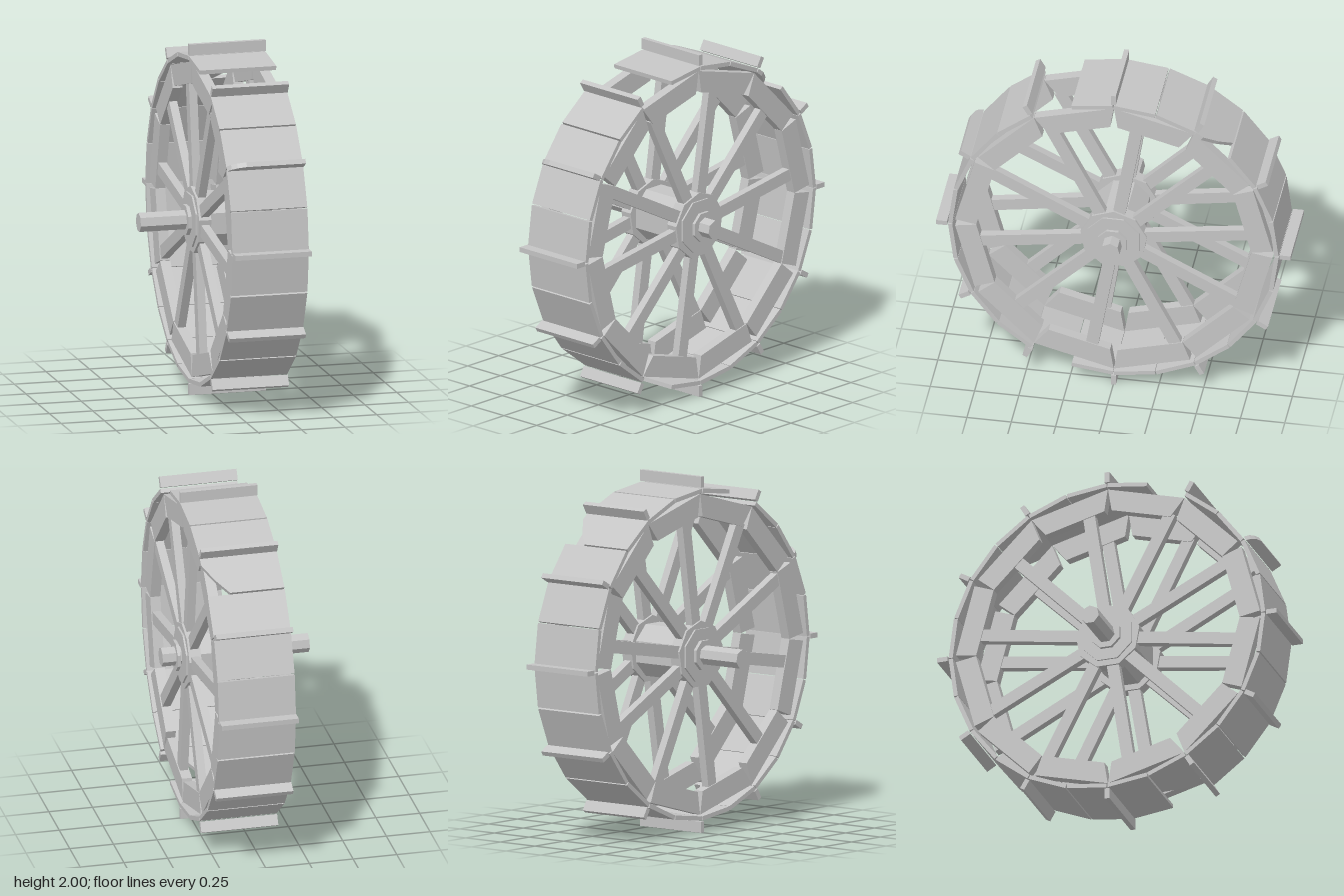
import * as THREE from 'three';

const wood = new THREE.MeshStandardMaterial({ color: 0xc4c4c4 });
wood.name = 'paleGreyWood';

const RAD = Math.PI / 180;
const MID = 0.09;          // x of the wheel's middle plane
const HALF = 0.22;         // half the width of the wheel

function add(parent, name, geometry) {
  const mesh = new THREE.Mesh(geometry, wood);
  mesh.name = name;
  parent.add(mesh);
  return mesh;
}

// Plate cut from a polygon outline
function plate(points, depth) {
  const shape = new THREE.Shape(points.map(([a, b]) => new THREE.Vector2(a, b)));
  return new THREE.ExtrudeGeometry(shape, { depth, bevelEnabled: false });
}

// Faceted prism lying along x, from x0 to x1
function prism(radius, sides, x0, x1, turn = 0) {
  let g = new THREE.CylinderGeometry(radius, radius, x1 - x0, sides, 1, false, turn);
  g.rotateZ(Math.PI / 2).rotateX(-Math.PI / 2).translate((x0 + x1) / 2, 0, 0);
  g = g.toNonIndexed();
  g.computeVertexNormals();
  return g;
}

// Spoked side frame: felloes, spokes and hub disc
function sideFrame(x, name, skew) {
  const frame = new THREE.Group();
  frame.name = name;
  const inwardNotch = [0, 1, 5, 6, 11];
  const thick = 0.058, outer = 0.87, inner = 0.75;
  for (let i = 0; i < 12; i++) {
    // each joint opens as a small V either inward or outward
    const cut = (j, side) => (inwardNotch.includes(j % 12) === (side === 'in') ? 0.022 : 0.001);
    const o = outer * Math.tan(15 * RAD), n = inner * Math.tan(15 * RAD);
    const g = plate([
      [-n + cut(i, 'in'), inner], [n - cut(i + 1, 'in'), inner],
      [o - cut(i + 1, 'out'), outer], [-o + cut(i, 'out'), outer],
    ], thick);
    g.rotateY(-Math.PI / 2).translate(x + thick / 2, 0, 0);
    add(frame, 'felloe', g).rotation.x = (i * 30 + 15) * RAD;
  }
  for (let i = 0; i < 10; i++) {
    const g = new THREE.BoxGeometry(0.046, 0.63, 0.07).translate(x, 0.475, 0);
    add(frame, 'spoke', g).rotation.x = (-9 + i * 36 + skew) * RAD;
  }
  add(frame, 'hubDisc', prism(0.19, 9, x - 0.035, x + 0.035));
  return frame;
}

export function createModel() {
  const model = new THREE.Group();
  model.name = 'waterWheel';
  const wheel = new THREE.Group();
  wheel.name = 'wheel';
  wheel.position.y = 1;
  model.add(wheel);

  wheel.add(sideFrame(MID - 0.175, 'rightFrame', 0.4));
  wheel.add(sideFrame(MID + 0.175, 'leftFrame', -0.4));

  // Axle, drum between the hubs and end collars
  const flat = Math.PI / 8;
  add(wheel, 'axle', prism(0.055, 7, -0.42, 0.42));
  add(wheel, 'drum', prism(0.157, 8, MID - HALF, MID + HALF, flat));
  add(wheel, 'rightCollar', prism(0.088, 8, -0.155, -0.135, flat));
  add(wheel, 'leftCollar', prism(0.088, 8, 0.325, 0.342, flat));

  // Rim boards: one lost, two broken
  const L = MID - HALF, R = MID + HALF, h = 0.117;
  const whole = [[L, -h], [R, -h], [R, h], [L, h]];
  const broken = {
    10: [[L, -h], [0.15, -h], [0.22, -0.06], [0.1, h], [L, h]],
    21: [[L, -h], [0.18, -h], [0.25, -0.03], [R, 0.07], [R, h], [L, h]],
  };
  for (let i = 0; i < 24; i++) {
    if (i === 1) continue;
    const g = plate(broken[i] || whole, 0.024);
    g.rotateX(Math.PI / 2).translate(0, 0.925, 0);
    add(wheel, 'rimBoard', g).rotation.x = (i * 15 + 7.5) * RAD;
  }

  // Paddles: one with a worn corner
  const low = 0.938, high = 1;
  const square = [[L, low], [R, low], [R, high], [L, high]];
  const worn = [[L, low], [R, low], [R, high], [-0.03, high], [-0.08, 0.985], [-0.11, 0.965]];
  for (let i = 0; i < 12; i++) {
    const g = plate(i === 2 ? worn : square, 0.028).translate(0, 0, -0.014);
    add(wheel, 'paddle', g).rotation.x = i * 30 * RAD;
  }
  return model;
}
